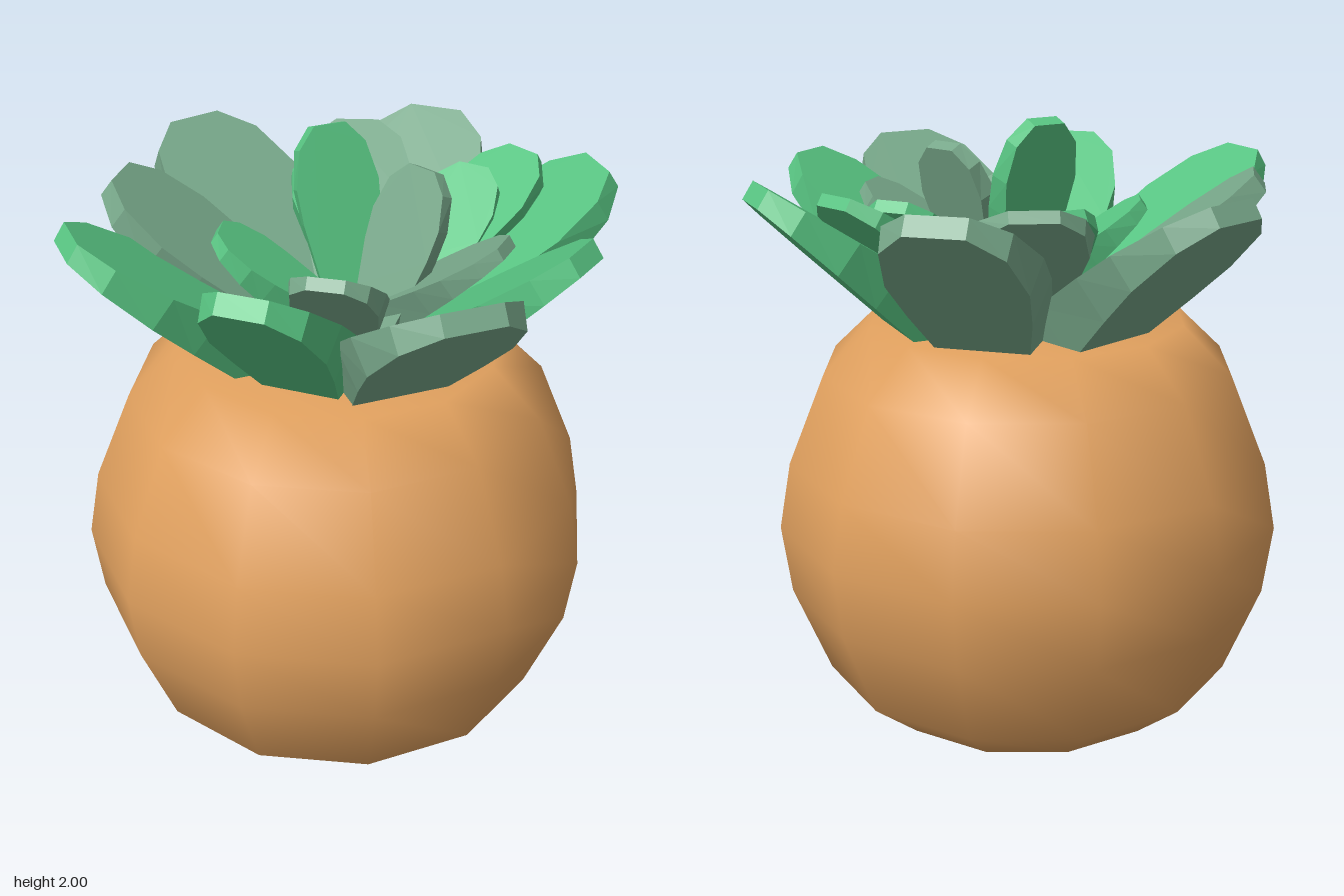
import * as THREE from 'three';

const mat = (name, color, extra = {}) => {
  const m = new THREE.MeshStandardMaterial({ color, ...extra });
  m.name = name;
  return m;
};

// Half outline of a leaf: [fraction of length, fraction of half width]
const OUTLINE = [[0, 0.5], [0.3, 0.75], [0.55, 0.95], [0.72, 1], [0.9, 0.8], [1, 0.38]];

// Faceted wedge-shaped leaf from base to tip; both points lie on its upper face
function leaf(name, material, base, tip, halfWidth, thickTip, thickBase) {
  const from = new THREE.Vector3(...base);
  const dir = new THREE.Vector3(...tip).sub(from);
  const length = dir.length();
  dir.normalize();
  const side = new THREE.Vector3().crossVectors(dir, new THREE.Vector3(0, 1, 0)).normalize();
  const normal = new THREE.Vector3().crossVectors(side, dir);

  const right = OUTLINE.map(([u, w]) => new THREE.Vector2(w * halfWidth, u * length));
  const left = right.map((p) => new THREE.Vector2(-p.x, p.y)).reverse();
  const geo = new THREE.ExtrudeGeometry(new THREE.Shape([...right, ...left]), {
    depth: 1, bevelEnabled: false,
  });
  // Thicker towards the base, with a narrower underside there
  const pos = geo.attributes.position;
  for (let i = 0; i < pos.count; i++) {
    const u = pos.getY(i) / length;
    const under = 1 - pos.getZ(i);
    pos.setX(i, pos.getX(i) * (1 - 0.35 * under * (1 - u)));
    pos.setZ(i, -under * THREE.MathUtils.lerp(thickBase, thickTip, u));
  }
  geo.applyMatrix4(new THREE.Matrix4().makeBasis(side, dir, normal).setPosition(from));
  geo.computeVertexNormals();
  const mesh = new THREE.Mesh(geo, material);
  mesh.name = name;
  return mesh;
}

export function createModel() {
  const model = new THREE.Group();
  model.name = 'pottedSucculent';
  const clay = mat('clay', 0xe0a05e);
  const green = mat('brightGreen', 0x58c482, { flatShading: true });
  const sage = mat('sageGreen', 0x78a88a, { flatShading: true });

  // Round pot with flat top and bottom
  const profile = [[0, 0], [0.52, 0], [0.69, 0.14], [0.81, 0.44], [0.84, 0.67],
    [0.8, 0.89], [0.68, 1.18], [0.52, 1.335], [0, 1.335]];
  const pot = new THREE.Mesh(
    new THREE.LatheGeometry(profile.map(([r, y]) => new THREE.Vector2(r, y)), 12), clay);
  pot.name = 'pot';
  pot.position.z = 0.03;
  model.add(pot);

  // Outer leaves: material, tip x, tip z, half width
  const outer = [
    [sage, 0.02, -0.83, 0.24], [green, 0.67, -0.53, 0.23], [green, 0.79, 0.14, 0.21],
    [sage, 0.62, 0.62, 0.25], [green, 0.03, 0.78, 0.2], [green, -0.61, 0.59, 0.23],
    [sage, -0.71, 0.11, 0.21], [sage, -0.72, -0.43, 0.25],
  ];
  for (const [m, x, z, w] of outer) {
    const k = 0.02 / Math.hypot(x, z);
    model.add(leaf('outerLeaf', m, [x * k + 0.02, 1.29, z * k], [x, 1.83, z], w, 0.065, 0.25));
  }

  // Middle leaves: material, base x, base z, tip x, tip y, tip z, half width
  const middle = [
    [sage, 0.0, -0.06, -0.2, 1.82, -0.64, 0.19],
    [green, 0.12, -0.05, 0.41, 1.82, -0.58, 0.17],
    [sage, 0.02, 0.01, 0.53, 1.76, 0.03, 0.145],
    [green, 0.08, -0.06, -0.24, 1.78, -0.42, 0.15],
    [green, 0.2, 0.0, 0.28, 1.79, -0.46, 0.14],
    [green, 0.06, 0.05, -0.34, 1.72, 0.16, 0.13],
    [sage, 0.07, 0.0, 0.13, 1.75, 0.44, 0.15],
  ];
  for (const [m, bx, bz, x, y, z, w] of middle) {
    model.add(leaf('middleLeaf', m, [bx, 1.43, bz], [x, y, z], w, 0.04, 0.15));
  }

  // Steep heart leaves
  model.add(leaf('heartLeaf', green, [0.08, 1.38, 0.05], [-0.08, 2.0, -0.1], 0.14, 0.05, 0.1));
  model.add(leaf('heartLeaf', sage, [0.13, 1.38, 0.14], [0.23, 1.91, -0.08], 0.14, 0.045, 0.1));
  return model;
}
